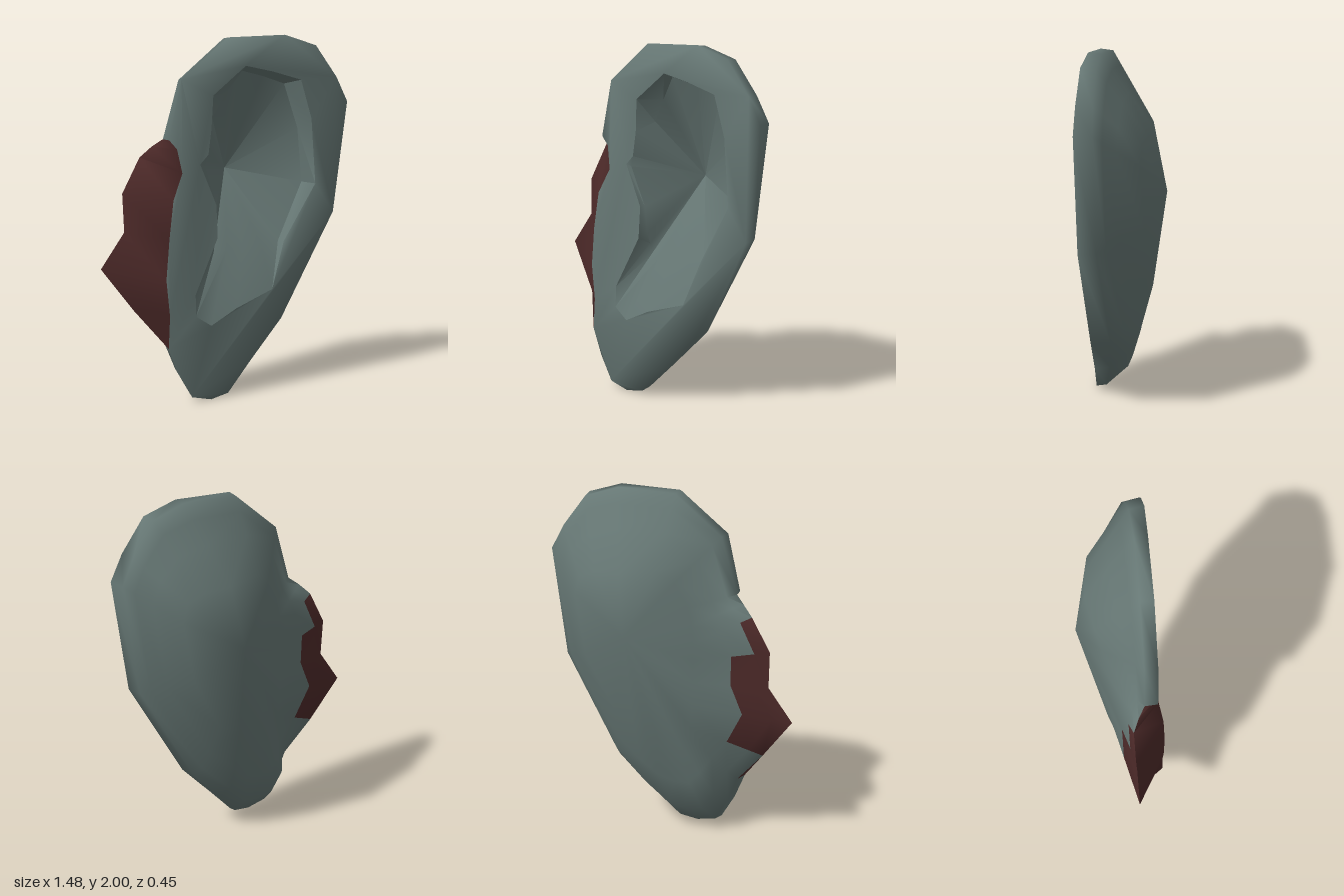
import * as THREE from 'three';
import { toCreasedNormals } from 'three/addons/utils/BufferGeometryUtils.js';

// Outer front edge, clockwise from the top: x, y, z, then z of the back edge
const RIM = [
  [-0.03, 1.99, 0.17, 0.1], [0.32, 2.0, 0.17, 0.1], [0.52, 1.94, 0.17, 0.09], [0.66, 1.76, 0.168, 0.08],
  [0.735, 1.62, 0.165, 0.07], [0.65, 0.99, 0.165, 0.07], [0.31, 0.4, 0.17, 0.06], [0.1, 0.18, 0.19, 0.1],
  [-0.05, 0.02, 0.21, 0.15], [-0.16, 0.0, 0.22, 0.16], [-0.28, 0.03, 0.225, 0.15], [-0.36, 0.17, 0.225, 0.14],
  [-0.42, 0.32, 0.225, 0.13],
];
// Torn edge: where the skin ends in front, and the ragged outer flap
const TORN_FRONT = [
  [-0.41, 0.5, 0.222], [-0.43, 0.7, 0.222], [-0.41, 0.92, 0.22],
  [-0.38, 1.13, 0.21], [-0.315, 1.27, 0.185], [-0.34, 1.4, 0.172], [-0.385, 1.45, 0.17],
];
const TORN_BACK = [
  [-0.565, 0.52, 0.09], [-0.74, 0.76, 0.055], [-0.6, 0.95, 0.05],
  [-0.605, 1.16, 0.04], [-0.5, 1.35, 0.035], [-0.44, 1.41, 0.065], [-0.39, 1.45, 0.1],
];
const LAST = [-0.31, 1.77, 0.17, 0.1];

// Ridge loop half way over the back, matching the edge points one by one
const BACK_RIDGE = [
  [0, 1.6, -0.13], [0.2, 1.58, -0.17], [0.35, 1.57, -0.155], [0.45, 1.53, -0.14], [0.48, 1.43, -0.135],
  [0.42, 1.08, -0.145], [0.25, 0.76, -0.13], [0.13, 0.72, -0.15], [0.06, 0.68, -0.14], [0, 0.65, -0.12],
  [-0.06, 0.63, -0.105], [-0.11, 0.63, -0.09], [-0.16, 0.65, -0.08], [-0.19, 0.7, -0.08], [-0.2, 0.83, -0.08],
  [-0.2, 0.97, -0.08], [-0.2, 1.1, -0.08], [-0.2, 1.2, -0.08], [-0.19, 1.3, -0.08], [-0.17, 1.4, -0.085],
  [-0.1, 1.54, -0.1],
];
const PEAK = [0.15, 1.24, -0.23]; // deepest point of the back

// Edge of the hollow, clockwise from the top, and the matching floor edge
const HOLLOW = [
  [0.08, 1.835, 0.165], [0.25, 1.8, 0.165], [0.43, 1.75, 0.165], [0.5, 1.53, 0.165], [0.53, 1.16, 0.165],
  [0.335, 0.84, 0.15], [0.24, 0.58, 0.19], [0, 0.5, 0.215], [-0.16, 0.42, 0.222], [-0.25, 0.48, 0.215],
  [-0.25, 0.6, 0.21], [-0.1, 0.9, 0.18], [-0.1, 1.08, 0.165], [-0.2, 1.31, 0.168], [-0.15, 1.36, 0.168],
  [-0.13, 1.5, 0.165], [-0.12, 1.68, 0.168],
];
const FLOOR = [
  [0.075, 1.81, 0.09], [0.24, 1.77, 0.07], [0.38, 1.725, 0.06], [0.47, 1.47, 0.06], [0.5, 1.16, 0.06],
  [0.32, 0.84, 0.11], [0.21, 0.83, 0.105], [0.1, 0.82, 0.1], [0, 0.81, 0.095], [-0.08, 0.8, 0.09],
  [-0.085, 0.86, 0.1], [-0.088, 0.92, 0.12], [-0.088, 1.08, 0.14], [-0.17, 1.3, 0.16], [0.11, 1.24, -0.15],
  [-0.075, 1.55, 0.065], [0, 1.68, 0.08],
];
const PIT = 14; // deepest floor point, where the fold ends

// Collects points and faces; slot 0 is skin, slot 1 is flesh
function builder() {
  const positions = [], slots = [[], []];
  const addRing = (points) => points.map((p) => positions.push(p[0], p[1], p[2]) / 3 - 1);
  const strip = (a, b, slotOf = () => 0) => a.forEach((_, i) => {
    const j = (i + 1) % a.length;
    slots[slotOf(i)].push(a[i], a[j], b[j], a[i], b[j], b[i]);
  });
  // Close a ring with a fan around one point
  const fan = (ring, centre) => ring.forEach((id, i) => {
    const next = ring[(i + 1) % ring.length];
    if (id !== centre && next !== centre) slots[0].push(id, next, centre);
  });
  // Fill between an outline and a hole, always facing +z
  const fill = (outer, hole) => {
    const to2 = (p) => new THREE.Vector2(p[0], p[1]);
    const pts = [...outer, ...hole], ids = addRing(pts);
    for (const [a, b, c] of THREE.ShapeUtils.triangulateShape(outer.map(to2), [hole.map(to2)])) {
      const area = THREE.ShapeUtils.area([pts[a], pts[b], pts[c]].map(to2));
      slots[0].push(ids[a], ...(area > 0 ? [ids[b], ids[c]] : [ids[c], ids[b]]));
    }
  };
  const finish = (crease) => {
    const geometry = new THREE.BufferGeometry();
    geometry.setAttribute('position', new THREE.Float32BufferAttribute(positions, 3));
    geometry.setIndex(slots.flat());
    geometry.addGroup(0, slots[0].length, 0);
    geometry.addGroup(slots[0].length, slots[1].length, 1);
    return toCreasedNormals(geometry, crease);
  };
  return { addRing, strip, fan, fill, finish };
}

function bodyGeometry() {
  const body = builder();
  const firstTorn = RIM.length - 1, lastTorn = firstTorn + TORN_FRONT.length;
  const between = (from, to) => (i) => (i >= from && i < to ? 1 : 0);

  // Front edge and back edge
  const front = [...RIM, ...TORN_FRONT, LAST];
  const inset = ([x, y, , z]) => [x + (PEAK[0] - x) * 0.03, y + (PEAK[1] - y) * 0.01, z];
  const back = [...RIM.map(inset), ...TORN_BACK, inset(LAST)];
  body.fill(front, HOLLOW);
  let previous = body.addRing(back);
  body.strip(body.addRing(front), previous, between(firstTorn, lastTorn));

  // Back: straight slopes to the ridge, swelling only behind the lobe
  const blend = (t, swell) => back.map((p, i) => {
    const q = p.map((v, n) => THREE.MathUtils.lerp(v, BACK_RIDGE[i][n], t));
    const weight = i === 6 ? 0.5 : i > 6 && i < firstTorn ? 1 : 0;
    return [q[0], q[1], q[2] - swell * weight];
  });
  const torn = firstTorn + 1;
  const rings = [
    [blend(0.2, 0.075), between(torn, torn + 4)],
    [blend(0.5, 0.055), between(torn, torn + 3)],
    [BACK_RIDGE],
  ];
  for (const [points, slotOf] of rings) {
    const ring = body.addRing(points);
    body.strip(previous, ring, slotOf);
    previous = ring;
  }
  body.fan(previous, body.addRing([PEAK])[0]);
  return body.finish(1.9);
}

function hollowGeometry() {
  const hollow = builder();
  const floor = hollow.addRing(FLOOR);
  hollow.strip(floor, hollow.addRing(HOLLOW));
  hollow.fan([...floor].reverse(), floor[PIT]);
  return hollow.finish(0.6);
}

export function createModel() {
  const skin = new THREE.MeshStandardMaterial({ color: 0x667774 });
  skin.name = 'greyGreenSkin';
  const flesh = new THREE.MeshStandardMaterial({ color: 0x4d2a29 });
  flesh.name = 'darkRedFlesh';

  const group = new THREE.Group();
  group.name = 'tornEar';
  const body = new THREE.Mesh(bodyGeometry(), [skin, flesh]);
  body.name = 'earBody';
  const hollow = new THREE.Mesh(hollowGeometry(), [skin, flesh]);
  hollow.name = 'earHollow';
  group.add(body, hollow);
  return group;
}
